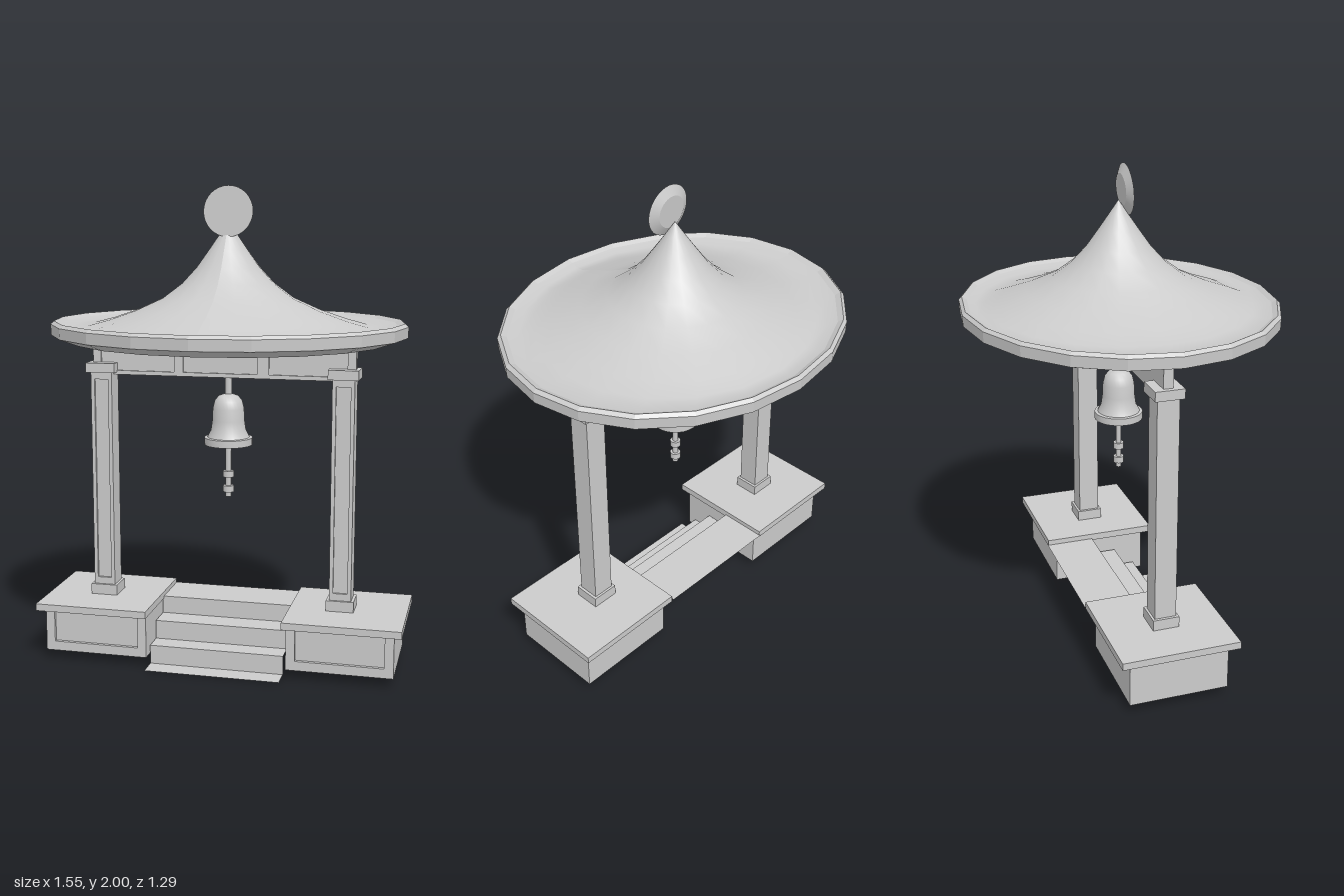
import * as THREE from 'three';
import { toCreasedNormals } from 'three/addons/utils/BufferGeometryUtils.js';

const mat = new THREE.MeshStandardMaterial({ color: 0xcccccc, side: THREE.DoubleSide });
const CX = 0.01; // axis of roof and bell

function add(parent, name, geometry) {
  const mesh = new THREE.Mesh(geometry, mat);
  mesh.name = name;
  parent.add(mesh);
  return mesh;
}

// Box given by its limits on each axis
function block(parent, name, [x0, x1], [y0, y1], [z0, z1]) {
  const mesh = add(parent, name, new THREE.BoxGeometry(x1 - x0, y1 - y0, z1 - z0));
  mesh.position.set((x0 + x1) / 2, (y0 + y1) / 2, (z0 + z1) / 2);
  return mesh;
}

function rectangle(Type, [x0, x1], [y0, y1]) {
  return new Type([[x0, y0], [x1, y0], [x1, y1], [x0, y1]].map(p => new THREE.Vector2(...p)));
}

// Raised front frame with rectangular openings, forming recessed panels
function frame(parent, name, xs, ys, [z0, z1], openings) {
  const shape = rectangle(THREE.Shape, xs, ys);
  shape.holes = openings.map(([hx, hy]) => rectangle(THREE.Path, hx, hy));
  const mesh = add(parent, name, new THREE.ExtrudeGeometry(shape, { depth: z1 - z0, bevelEnabled: false }));
  mesh.position.z = z0;
}

// Hollow plinth, open below, with an overhanging slab
function pedestal(parent, name, [x0, x1], slabX) {
  const g = new THREE.Group();
  g.name = name;
  parent.add(g);
  const w = 0.006, ys = [0.04, 0.23];
  block(g, 'outerWall', [x0, x0 + w], ys, [-0.205, 0.19]);
  block(g, 'innerWall', [x1 - w, x1], ys, [-0.205, 0.19]);
  block(g, 'backWall', [x0, x1], ys, [-0.205, -0.205 + w]);
  block(g, 'frontPanel', [x0, x1], ys, [0.184, 0.19]);
  frame(g, 'frontFrame', [x0, x1], ys, [0.19, 0.205], [[[x0 + 0.038, x1 - 0.038], [0.08, 0.215]]]);
  block(g, 'slab', slabX, [0.225, 0.255], [-0.245, 0.245]);
}

// Square post with base, capital and a sunken front panel
function column(parent, name, cx) {
  const g = new THREE.Group();
  g.name = name;
  g.position.x = cx;
  parent.add(g);
  block(g, 'base', [-0.058, 0.058], [0.255, 0.3], [-0.055, 0.055]);
  block(g, 'shaft', [-0.046, 0.046], [0.29, 1.24], [-0.045, 0.035]);
  frame(g, 'shaftFrame', [-0.046, 0.046], [0.29, 1.24], [0.035, 0.045], [[[-0.03, 0.03], [0.33, 1.2]]]);
  block(g, 'capital', [-0.063, 0.063], [1.23, 1.27], [-0.06, 0.06]);
}

function lathe(points, sides, crease) {
  const g = new THREE.LatheGeometry(points.map(p => new THREE.Vector2(...p)), sides);
  return crease ? toCreasedNormals(g, crease) : g;
}

// Round near the peak, easing into an oval at the rim
function ovalize(geometry) {
  const p = geometry.attributes.position;
  for (let i = 0; i < p.count; i++) {
    const r = Math.hypot(p.getX(i), p.getZ(i));
    const t = THREE.MathUtils.smoothstep(r, 0.45, 0.72);
    p.setZ(i, p.getZ(i) * (1 - 0.128 * t));
  }
  geometry.computeVertexNormals();
  return geometry;
}

export function createModel() {
  const model = new THREE.Group();
  model.name = 'bellPavilion';

  // Plinths and posts
  pedestal(model, 'rightPedestal', [-0.745, -0.3], [-0.775, -0.29]);
  pedestal(model, 'leftPedestal', [0.298, 0.742], [0.285, 0.775]);
  column(model, 'rightColumn', -0.533);
  column(model, 'leftColumn', 0.498);

  // Steps: a folded sheet of treads and risers
  const fold = [[-0.25, 0.235], [-0.04, 0.235], [-0.04, 0.16], [0.07, 0.16],
    [0.07, 0.08], [0.16, 0.08], [0.16, 0], [0.25, 0]];
  const steps = new THREE.Group();
  steps.name = 'steps';
  model.add(steps);
  for (let i = 0; i < fold.length - 1; i++) {
    const [z0, y0] = fold[i], [z1, y1] = fold[i + 1];
    const flat = y0 === y1;
    const sheet = add(steps, flat ? 'tread' : 'riser', new THREE.PlaneGeometry(0.575, flat ? z1 - z0 : y0 - y1));
    if (flat) sheet.rotation.x = -Math.PI / 2;
    sheet.position.set(-0.0075, (y0 + y1) / 2, (z0 + z1) / 2);
  }

  // Panelled crossbeam
  block(model, 'beam', [-0.575, 0.545], [1.22, 1.41], [-0.02, 0.012]);
  frame(model, 'beamFrame', [-0.575, 0.545], [1.22, 1.41], [0.012, 0.02],
    [[-0.54, -0.22], [-0.18, 0.135], [0.185, 0.51]].map(x => [x, [1.237, 1.395]]));

  // Roof: swept cone, inner lining and faceted rim
  const roof = new THREE.Group();
  roof.name = 'roof';
  roof.position.x = CX;
  model.add(roof);
  const sweep = [[0.72, 1.45], [0.65, 1.436], [0.58, 1.438], [0.49, 1.462], [0.38, 1.5], [0.27, 1.55],
    [0.19, 1.61], [0.13, 1.675], [0.08, 1.745], [0.035, 1.81], [0, 1.862]];
  add(roof, 'roofCone', ovalize(lathe(sweep, 20)));
  const lining = sweep.slice(3).map(([r, y]) => [r * 0.97, y - 0.022]);
  add(roof, 'roofLining', ovalize(lathe([[0.6, 1.372], [0.57, 1.415], ...lining], 20)));
  const rim = [[0.6, 1.372], [0.655, 1.372], [0.738, 1.4], [0.74, 1.445], [0.725, 1.458], [0.7, 1.446]];
  add(roof, 'roofRim', ovalize(lathe(rim, 20).toNonIndexed()));

  // Tilted dished disc on the peak
  const disc = add(model, 'finialDisc', new THREE.CylinderGeometry(0.103, 0.065, 0.02, 32));
  disc.rotation.x = Math.PI / 2 - 0.06;
  disc.position.set(0.016, 1.9, 0.022);

  // Bell with hollow inside, hanger and clapper
  const bell = new THREE.Group();
  bell.name = 'bell';
  bell.position.x = CX;
  model.add(bell);
  add(bell, 'bellBody', lathe([
    [0, 1.125], [0.04, 1.11], [0.055, 1.07], [0.06, 1.02], [0.085, 0.96], [0.088, 0.937],
    [0.101, 0.937], [0.101, 0.967], [0.088, 0.969], [0.074, 0.998], [0.068, 1.04], [0.066, 1.09],
    [0.058, 1.122], [0.042, 1.142], [0.022, 1.15], [0, 1.152],
  ], 28, 0.7));
  const rod = (name, r, y0, y1) => {
    add(bell, name, new THREE.CylinderGeometry(r, r, y1 - y0, 10)).position.y = (y0 + y1) / 2;
  };
  rod('hanger', 0.014, 1.14, 1.23);
  rod('clapperRod', 0.012, 0.712, 1.12);
  rod('upperBead', 0.023, 0.797, 0.823);
  rod('lowerBead', 0.023, 0.733, 0.76);

  return model;
}
